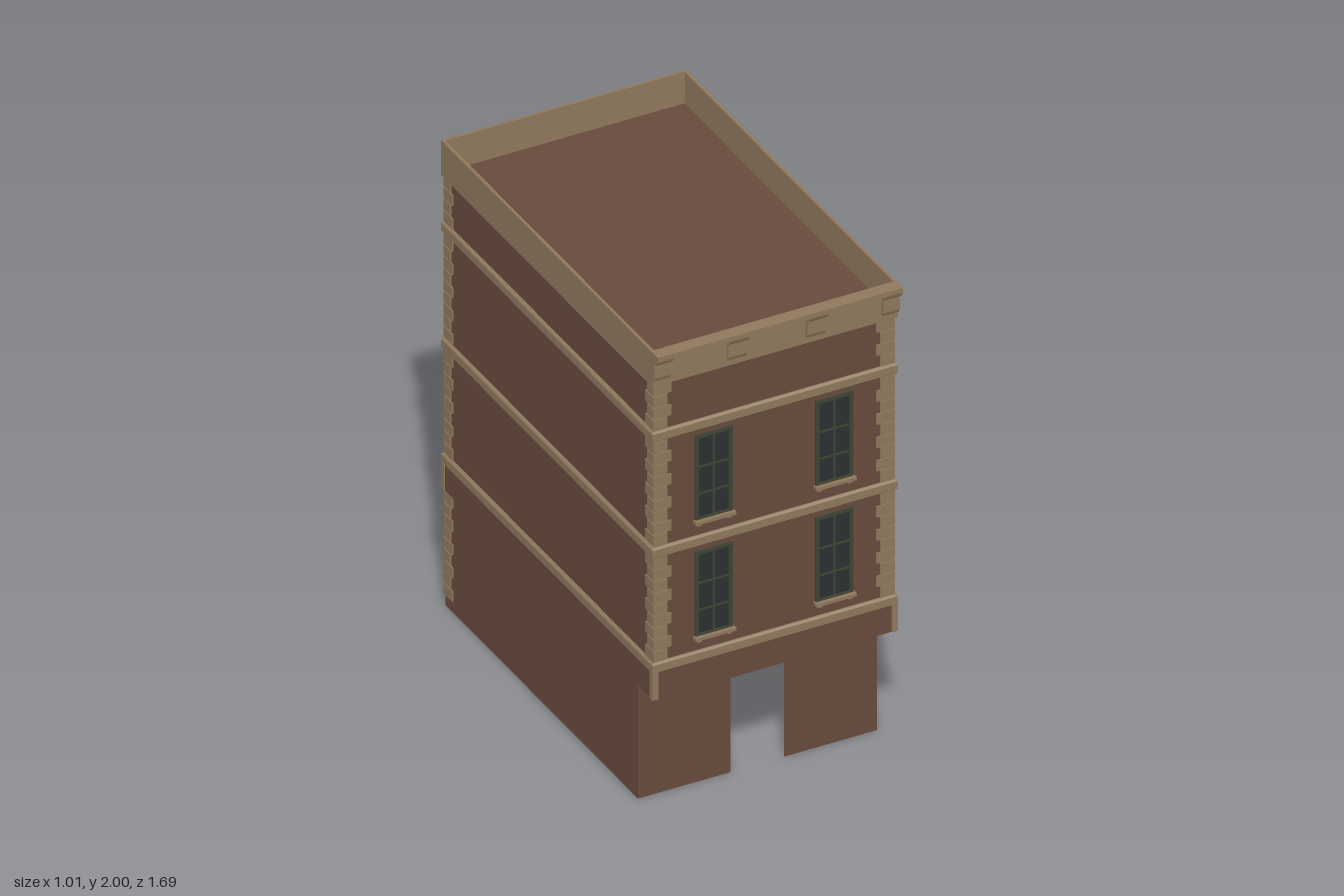
import * as THREE from 'three';

const mat = (name, color, side = THREE.FrontSide) => {
  const m = new THREE.MeshStandardMaterial({ color, side });
  m.name = name;
  return m;
};

export function createModel() {
  const brick = mat('brick brown', 0x674a3d, THREE.DoubleSide);
  const stone = mat('stone tan', 0x8f795d);
  const frameMat = mat('window frame olive', 0x3f4433);
  const glassMat = mat('dark glass', 0x2c3030);

  const building = new THREE.Group();
  building.name = 'building';

  const add = (parent, name, geometry, material) => {
    const m = new THREE.Mesh(geometry, material);
    m.name = name;
    parent.add(m);
    return m;
  };
  // box given by its limits
  const box = (parent, name, material, x0, x1, y0, y1, z0, z1) => {
    const m = add(parent, name, new THREE.BoxGeometry(x1 - x0, y1 - y0, z1 - z0), material);
    m.position.set((x0 + x1) / 2, (y0 + y1) / 2, (z0 + z1) / 2);
    return m;
  };
  const rect = (x0, x1, y0, y1, C = THREE.Shape) =>
    new C([[x0, y0], [x1, y0], [x1, y1], [x0, y1]].map(p => new THREE.Vector2(...p)));

  const W = 0.492, F = 0.79, B = -0.817;      // wall faces
  const TW = 0.505, TF = 0.803, TB = -0.829;  // trim faces

  // Upper storeys and the brown band, with a stone underside
  box(building, 'upperWalls', brick, -W, W, 0.6, 1.865, B, F);
  box(building, 'baseBand', [brick, brick, brick, stone, brick, brick],
    -0.5, 0.5, 0.5, 0.615, -0.825, 0.799);
  for (const sx of [-1, 1]) {
    for (const [za, zb] of [[TF - 0.024, TF], [TB, TB + 0.024]]) {
      const xs = [sx * (TW - 0.024), sx * TW].sort((a, b) => a - b);
      box(building, 'bandCorner', stone, xs[0], xs[1], 0.5, 0.615, za, zb);
    }
  }

  // Ground floor: thin open walls, set back at the front
  const GF = 0.667;
  const wallWithDoor = (name, z, halfDoor, doorTop) => {
    const s = new THREE.Shape([
      [-W, 0], [-halfDoor, 0], [-halfDoor, doorTop], [halfDoor, doorTop],
      [halfDoor, 0], [W, 0], [W, 0.5], [-W, 0.5],
    ].map(p => new THREE.Vector2(...p)));
    const m = add(building, name, new THREE.ShapeGeometry(s), brick);
    m.position.z = z;
    if (z < 0) m.rotation.y = Math.PI;
  };
  wallWithDoor('groundFrontWall', GF, 0.11, 0.499);
  wallWithDoor('groundBackWall', B, 0.095, 0.34);
  for (const sx of [-1, 1]) {
    const m = add(building, 'groundSideWall', new THREE.PlaneGeometry(GF - B, 0.5), brick);
    m.position.set(sx * W, 0.25, (GF + B) / 2);
    m.rotation.y = sx * Math.PI / 2;
  }

  // Belt courses with chamfered edges
  const bev = 0.007;
  for (const y of [0.61, 1.105, 1.605]) {
    const g = new THREE.ExtrudeGeometry(
      rect(-TW + bev, TW - bev, -TF + bev, -TB - bev),
      { depth: 0.046 - 2 * bev, bevelEnabled: true, bevelSize: bev, bevelThickness: bev, bevelSegments: 1 });
    g.rotateX(-Math.PI / 2);
    add(building, 'beltCourse', g, stone).position.y = y + bev;
  }

  // Corner stones, alternately long on the face and on the side
  const stoneStack = (sx, front, y0, count) => {
    const p = 0.005, step = 0.05;
    for (let i = 0; i < count; i++) {
      const lx = i % 2 ? 0.075 : 0.058, lz = i % 2 ? 0.05 : 0.065;
      const xo = W + p, zo = front ? F + p : B - p;
      const xs = [sx * xo, sx * (xo - lx)].sort((a, b) => a - b);
      const zs = [zo, front ? zo - lz : zo + lz].sort((a, b) => a - b);
      box(building, 'cornerStone', stone, xs[0], xs[1],
        y0 + i * step + 0.002, y0 + (i + 1) * step - 0.002, zs[0], zs[1]);
    }
  };
  for (const sx of [-1, 1]) {
    for (const front of [true, false]) {
      stoneStack(sx, front, 0.655, 9);
      stoneStack(sx, front, 1.153, 9);
      stoneStack(sx, front, 1.65, 4);
    }
    stoneStack(sx, false, 0.047, 9);
  }

  // Parapet ring around the roof
  const ring = rect(-TW, TW, -TF, -TB);
  ring.holes.push(rect(-TW + 0.012, TW - 0.012, -TF + 0.012, -TB - 0.012, THREE.Path));
  const ringGeo = new THREE.ExtrudeGeometry(ring, { depth: 0.15, bevelEnabled: false });
  ringGeo.rotateX(-Math.PI / 2);
  add(building, 'parapet', ringGeo, stone).position.y = 1.85;

  // Front cornice and its brackets, profiles drawn in z and y
  const profileBar = (name, pts, x0, x1) => {
    const s = new THREE.Shape(pts.map(([z, y]) => new THREE.Vector2(-z, y)));
    const g = new THREE.ExtrudeGeometry(s, { depth: x1 - x0, bevelEnabled: false });
    g.rotateY(Math.PI / 2);
    add(building, name, g, stone).position.x = x0;
  };
  profileBar('cornice', [[0.8, 2], [0.845, 2], [0.845, 1.98], [0.8, 1.98]], -TW, TW);
  const bracket = [[0.8, 1.98], [0.843, 1.98], [0.838, 1.967], [0.828, 1.957],
    [0.819, 1.95], [0.819, 1.895], [0.812, 1.878], [0.8, 1.872]];
  for (const [x0, x1] of [[-TW, -0.437], [-0.2, -0.125], [0.125, 0.2], [0.437, TW]]) {
    profileBar('corniceBracket', bracket, x0, x1);
  }

  // Windows, built facing +z with the origin at the sill
  const makeWindow = () => {
    const w = new THREE.Group();
    w.name = 'window';
    const hw = 0.077, h = 0.37, t = 0.014;
    const frame = rect(-hw, hw, 0, h);
    frame.holes.push(rect(-hw + t, hw - t, t, h - t, THREE.Path));
    add(w, 'windowFrame', new THREE.ExtrudeGeometry(frame, { depth: 0.009, bevelEnabled: false }), frameMat);
    box(w, 'glass', glassMat, -hw + t, hw - t, t, h - t, -0.001, 0.002);
    box(w, 'verticalBar', frameMat, -0.004, 0.004, t, h - t, 0, 0.005);
    for (const y of [0.115, 0.23]) {
      box(w, 'crossBar', frameMat, -hw + t, hw - t, y - 0.004, y + 0.004, 0, 0.005);
    }
    box(w, 'sill', stone, -0.083, 0.083, -0.006, 0.007, 0, 0.024);
    for (const x of [-0.062, 0.062]) {
      box(w, 'sillBracket', stone, x - 0.009, x + 0.009, -0.018, -0.006, 0, 0.014);
    }
    return w;
  };
  for (const front of [true, false]) {
    for (const x of [-0.248, 0.248]) {
      for (const y of [0.713, 1.213]) {
        const w = makeWindow();
        w.position.set(x, y, front ? F : B);
        if (!front) w.rotation.y = Math.PI;
        building.add(w);
      }
    }
  }

  return building;
}
